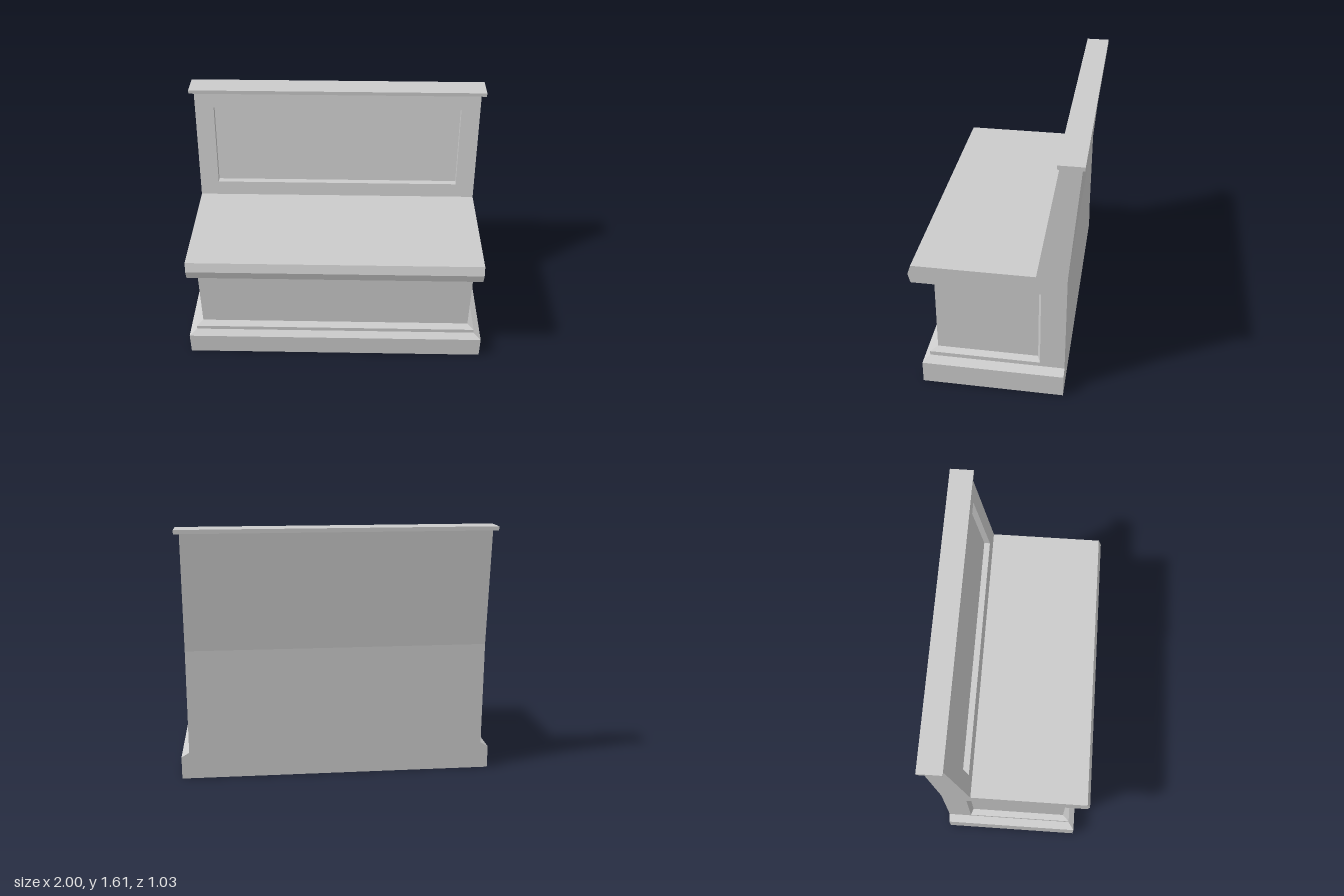
import * as THREE from 'three';

const wood = new THREE.MeshStandardMaterial({ color: 0xcccccc });
wood.name = 'pale grey';

function addMesh(group, name, geometry) {
  const mesh = new THREE.Mesh(geometry, wood);
  mesh.name = name;
  group.add(mesh);
}

function extrude(points, depth) {
  const shape = new THREE.Shape(points.map(([a, b]) => new THREE.Vector2(a, b)));
  return new THREE.ExtrudeGeometry(shape, { depth, bevelEnabled: false });
}

// Side profile of [z, y] points, swept from x0 to x1
function sweepX(points, x0, x1) {
  return extrude(points, x1 - x0).rotateY(-Math.PI / 2).translate(x1, 0, 0);
}

// Rectangular rings [y, half width, front z] joined into a stepped solid with a flat back
function steppedSolid(rings, backZ) {
  const pos = [];
  const index = [];
  for (const [y, x, z] of rings) pos.push(-x, y, z, x, y, z, x, y, backZ, -x, y, backZ);
  for (let r = 0; r < rings.length - 1; r++) {
    for (let i = 0; i < 4; i++) {
      const a = r * 4 + i;
      const b = r * 4 + (i + 1) % 4;
      index.push(a, b, b + 4, a, b + 4, a + 4);
    }
  }
  const t = (rings.length - 1) * 4;
  index.push(0, 2, 1, 0, 3, 2, t, t + 1, t + 2, t, t + 2, t + 3);
  const geometry = new THREE.BufferGeometry();
  geometry.setAttribute('position', new THREE.Float32BufferAttribute(pos, 3));
  geometry.setIndex(index);
  const flat = geometry.toNonIndexed();
  flat.computeVertexNormals();
  return flat;
}

export function createModel() {
  const group = new THREE.Group();
  group.name = 'bench';

  // Plinth, moulding, seat box and the flared underside of the seat
  addMesh(group, 'base', steppedSolid([
    [0, 1, 0.448], [0.145, 1, 0.448], [0.175, 0.95, 0.408], [0.202, 0.95, 0.408],
    [0.22, 0.91, 0.365], [0.71, 0.91, 0.365], [0.725, 0.95, 0.5],
  ], -0.44));

  // Rear upright with bevelled front corners beside the recessed box sides
  const pier = [[-0.95, 0.44], [0.95, 0.44], [0.95, 0.287], [0.91, 0.27], [-0.91, 0.27], [-0.95, 0.287]];
  addMesh(group, 'rearUpright',
    extrude(pier.map(([x, z]) => [x, -z]).reverse(), 0.555).rotateX(Math.PI / 2)
      .scale(1, 1, 1).translate(0, 0.73, 0));

  // Seat slab with a pointed front edge
  addMesh(group, 'seat', sweepX([
    [-0.44, 0.725], [0.5, 0.725], [0.515, 0.785], [0.495, 0.845], [-0.44, 0.845],
  ], -0.95, 0.95));

  // Leaning backrest: two solid stiles and a centre with a sunken panel
  const bottom = [[-0.44, 0.845], [-0.255, 0.845]];
  const top = [[-0.375, 1.58], [-0.5, 1.58]];
  const notch = [[-0.2705, 0.94], [-0.31, 0.94], [-0.398, 1.48], [-0.3587, 1.48]];
  addMesh(group, 'rightStile', sweepX([...bottom, ...top], -0.95, -0.825));
  addMesh(group, 'leftStile', sweepX([...bottom, ...top], 0.825, 0.95));
  addMesh(group, 'backPanel', sweepX([...bottom, ...notch, ...top], -0.825, 0.825));

  // Top rail
  const rail = new THREE.BoxGeometry(1.966, 0.025, 0.152).translate(0, 1.5925, -0.439);
  addMesh(group, 'topRail', rail);

  return group;
}
